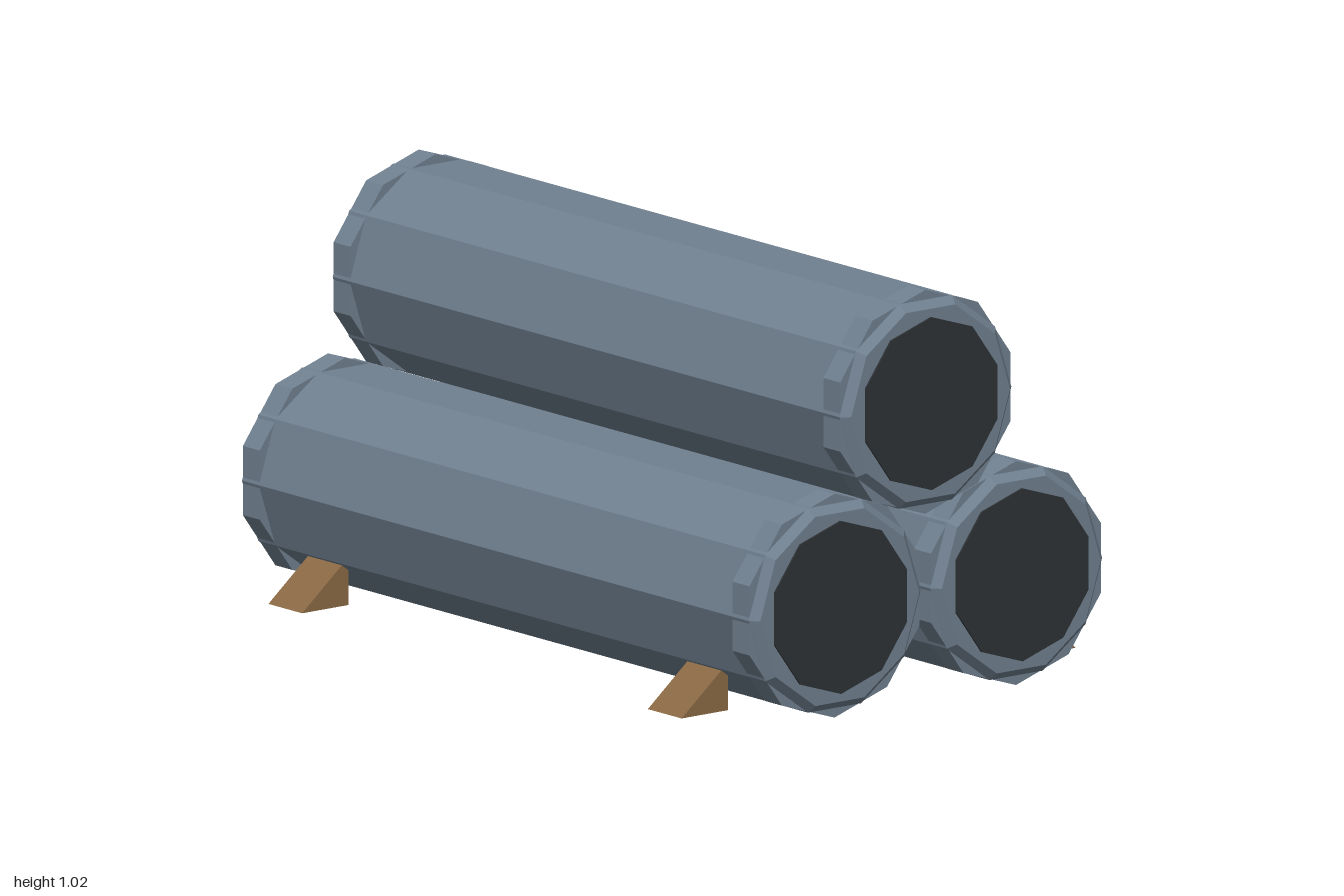
import * as THREE from 'three';

const SIDES = 10;
const paint = (color) => new THREE.MeshStandardMaterial({ color, flatShading: true });

function part(name, geometry, material) {
  const mesh = new THREE.Mesh(geometry, material);
  mesh.name = name;
  return mesh;
}

// Ten-sided disc or band lying along z, with a corner at top and bottom
const band = (radius, length, z) =>
  new THREE.CylinderGeometry(radius, radius, length, SIDES).rotateX(Math.PI / 2).translate(0, 0, z);

export function createModel() {
  const model = new THREE.Group();
  const steel = paint(0x708090);
  const dark = paint(0x2d3234);
  const wood = paint(0x8b6a45);

  // Pipe body with bevelled, closed ends; flat on top
  const profile = [[0, -0.995], [0.246, -0.995], [0.266, -0.975], [0.266, 0.975], [0.246, 0.995], [0, 0.995]]
    .map(([r, y]) => new THREE.Vector2(r, y));
  const bodyGeometry = new THREE.LatheGeometry(profile, SIDES, Math.PI / SIDES).rotateX(Math.PI / 2);

  // Stack of three pipes
  const pipes = [['pipeRight', -0.281, 0.281], ['pipeLeft', 0.281, 0.281], ['pipeTop', 0, 0.745]];
  for (const [name, x, y] of pipes) {
    const pipe = new THREE.Group();
    pipe.name = name;
    pipe.position.set(x, y, 0);
    pipe.add(part('body', bodyGeometry, steel));
    for (const end of [-1, 1]) {
      pipe.add(part('collar', band(0.277, 0.065, end * 0.942), steel));
      pipe.add(part('boreCap', band(0.214, 0.02, end * 0.99), dark));
    }
    model.add(pipe);
  }

  // Wooden chocks on the outer sides
  for (const side of [-1, 1]) {
    const wedge = new THREE.Shape([
      new THREE.Vector2(side * 0.467, 0.017),
      new THREE.Vector2(side * 0.61, 0.017),
      new THREE.Vector2(side * 0.467, 0.135),
    ]);
    for (const z of [-0.73, 0.73]) {
      const geometry = new THREE.ExtrudeGeometry(wedge, { depth: 0.13, bevelEnabled: false });
      model.add(part('wedgeChock', geometry.translate(0, 0, z - 0.065), wood));
    }
  }
  return model;
}
